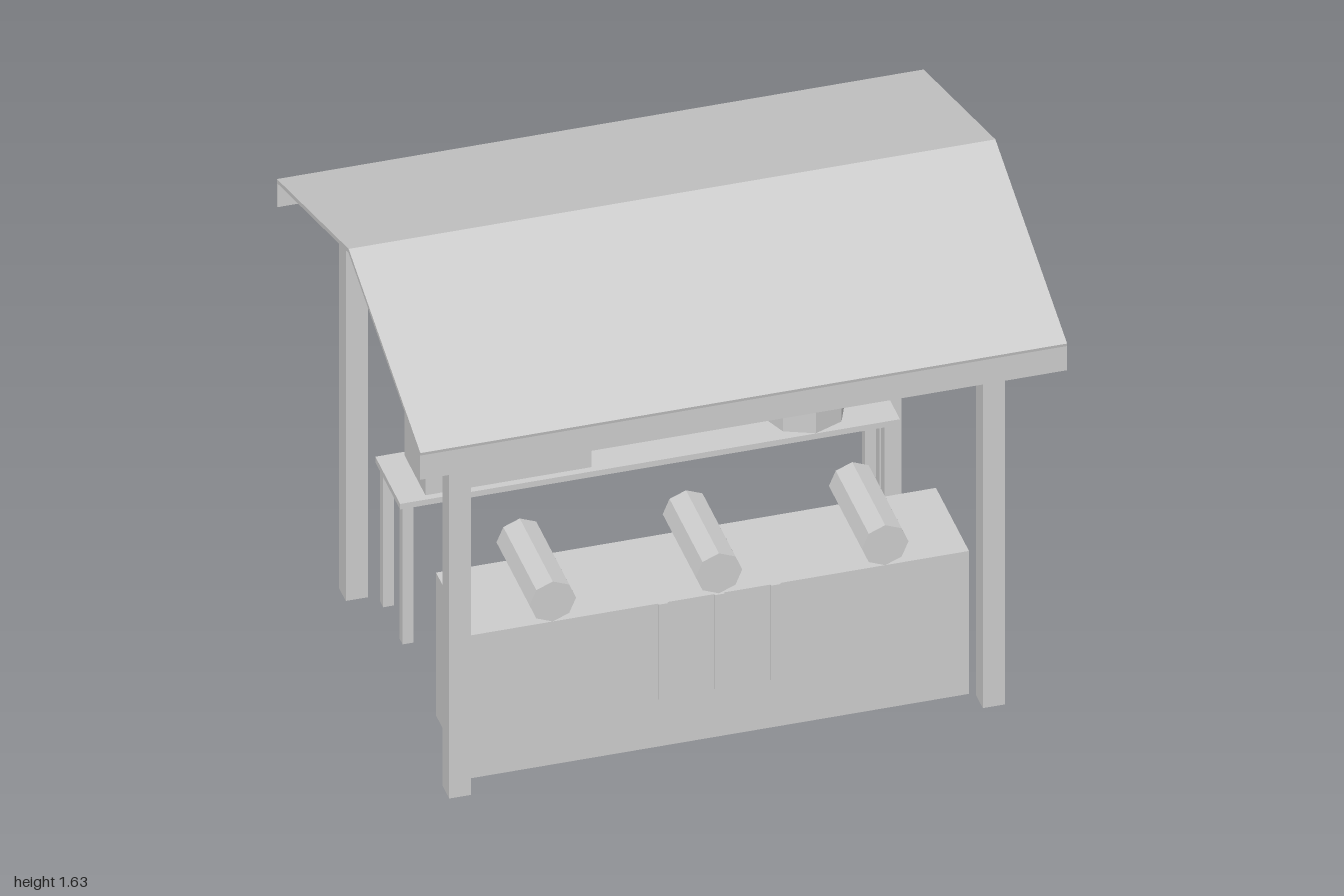
import * as THREE from 'three';

export function createModel() {
  const model = new THREE.Group();
  model.name = 'marketStall';
  const grey = new THREE.MeshStandardMaterial({ color: 0xcccccc, flatShading: true });
  grey.name = 'plain grey';

  const add = (name, geometry) => {
    const mesh = new THREE.Mesh(geometry, grey);
    mesh.name = name;
    model.add(mesh);
    return mesh;
  };
  // Box given by its extents on each axis
  const box = (name, x0, x1, y0, y1, z0, z1) =>
    add(name, new THREE.BoxGeometry(x1 - x0, y1 - y0, z1 - z0)
      .translate((x0 + x1) / 2, (y0 + y1) / 2, (z0 + z1) / 2));

  // Gabled roof: thin chevron profile stretched along x
  const profile = new THREE.Shape([
    [-0.742, 1.375], [0, 1.615], [0.742, 1.375],
    [0.745, 1.388], [0, 1.63], [-0.745, 1.388],
  ].map(([z, y]) => new THREE.Vector2(z, y)));
  add('roof', new THREE.ExtrudeGeometry(profile, { depth: 2, bevelEnabled: false })
    .rotateY(Math.PI / 2).translate(-1, 0, 0));

  for (const s of [-1, 1]) {
    // Hanging boards along the eaves
    box('valance', -1, 1, 1.29, 1.386, s * 0.741 - 0.0015, s * 0.741 + 0.0015);
    // Long beams resting on the posts
    box('longBeam', -0.86, 0.86, 1.32, 1.387, s * 0.537 - 0.034, s * 0.537 + 0.034);
    // Cross beam and king post under each gable
    const x = s * 0.825;
    box('tieBeam', x - 0.034, x + 0.034, 1.387, 1.43, -0.571, 0.571);
    box('kingPost', x - 0.034, x + 0.034, 1.43, 1.58, -0.027, 0.027);
    for (const t of [-1, 1]) {
      const z = t * 0.537;
      box('post', x - 0.034, x + 0.034, 0, 1.32, z - 0.034, z + 0.034);
    }
    // Table legs
    for (const z of [-0.255, -0.457]) {
      box('tableLeg', s * 0.745 - 0.017, s * 0.745 + 0.017, 0, 0.495, z - 0.017, z + 0.017);
    }
  }

  // Front counter with hanging strips and rolls of cloth
  box('counter', -0.773, 0.773, 0, 0.515, 0.145, 0.488);
  for (const i of [-1, 0, 1]) {
    box('hangingStrip', i * 0.174 - 0.015, i * 0.174 + 0.015, 0.173, 0.515, 0.488, 0.494);
    add('roll', new THREE.CylinderGeometry(0.072, 0.072, 0.343, 8)
      .rotateX(Math.PI / 2).translate(i * 0.514, 0.587, 0.3165));
  }

  // Back table with crate and barrel
  box('tableTop', -0.773, 0.773, 0.495, 0.515, -0.485, -0.228);
  box('crate', -0.688, -0.174, 0.515, 0.83, -0.465, -0.25);
  add('barrel', new THREE.CylinderGeometry(0.128, 0.128, 0.315, 8)
    .translate(0.513, 0.6725, -0.357));

  return model;
}
